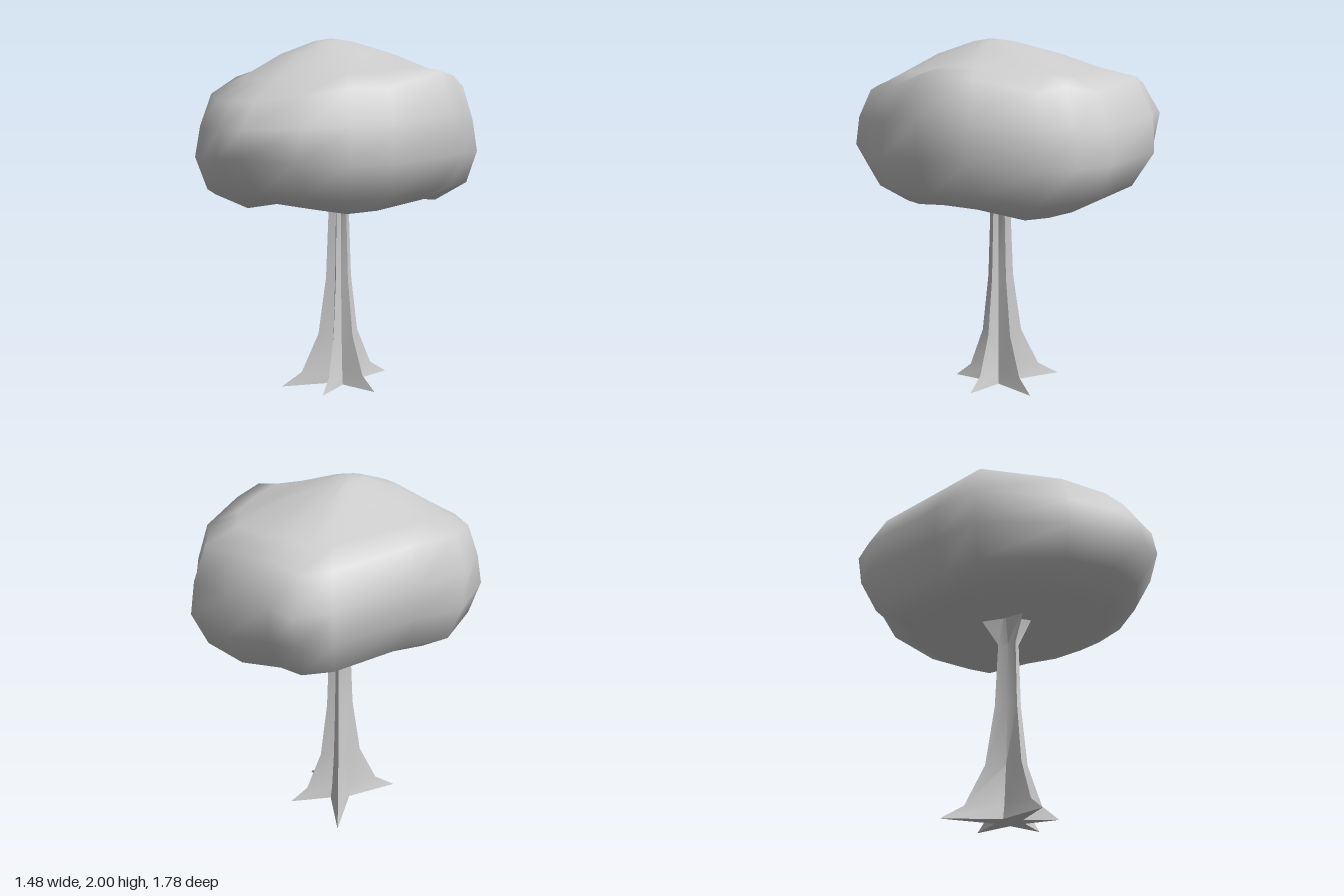
import * as THREE from 'three';
import { toCreasedNormals } from 'three/addons/utils/BufferGeometryUtils.js';

// Skin a stack of equal-length rings (bottom to top), closed by a pole at each end.
function loft(rings, bottom, top) {
  const n = rings[0].length;
  const points = [...rings.flat(), bottom, top];
  const index = [];
  const last = (rings.length - 1) * n;
  const b = rings.length * n;
  for (let j = 0; j < n; j++) {
    const k = (j + 1) % n;
    for (let i = 0; i < rings.length - 1; i++) {
      const lo = i * n, hi = lo + n;
      index.push(lo + j, hi + j, lo + k, lo + k, hi + j, hi + k);
    }
    index.push(b, j, k, last + j, b + 1, last + k);
  }
  const geometry = new THREE.BufferGeometry();
  geometry.setAttribute('position', new THREE.Float32BufferAttribute(points.flat(), 3));
  geometry.setIndex(index);
  geometry.computeVertexNormals();
  return geometry;
}

// Irregular crown: one plan outline scaled along a mushroom-like profile.
function crownGeometry() {
  // x, z, sag (low-slung waist), lobe (bulge of the underside), rim (height of the shoulder)
  const outline = [
    [-0.07, -0.89, 0.8, 0.2, 0.015], [0.3, -0.78, 1, 0.7, -0.05], [0.42, -0.64, 1, 1, -0.02],
    [0.58, -0.52, 1, 1, -0.05], [0.68, -0.18, 0.8, 0.4, 0.02], [0.74, 0.07, 0.6, 0.2, 0.045],
    [0.58, 0.38, 1, 0.6, -0.03], [0.44, 0.57, 1, 0.7, -0.03], [0.27, 0.76, 1, 0.3, -0.07],
    [0.02, 0.88, 1, 0, -0.1], [-0.15, 0.86, 1, 0.2, -0.1], [-0.32, 0.8, 1, 0.7, -0.1],
    [-0.55, 0.6, 1, 1, -0.08], [-0.75, 0.15, 0.1, 0.3, 0], [-0.67, -0.15, 0, 0, 0],
    [-0.56, -0.66, 0, 0, -0.02], [-0.45, -0.81, 0, 0, -0.03], [-0.3, -0.82, 0.3, 0, 0],
  ];
  // each level: outline scale, height, sideways drift towards the peak
  const profile = (sag, lobe, rim) => [
    [0.25, 1.155, 0],
    [0.5, 1.145 - 0.045 * lobe, 0],
    [0.7, 1.165 - 0.08 * lobe, 0],
    [0.86 + 0.075 * lobe, 1.235 - 0.05 * lobe, 0],
    [0.97 + 0.04 * sag, 1.42 - 0.055 * lobe, 0],
    [1 - 0.015 * (sag + lobe), 1.6 + 0.4 * rim - 0.035 * lobe, 0],
    [0.89, 1.785 + rim, 0],
    [0.68, 1.835 + 0.5 * rim, 0],
    [0.4, 1.915, 0.3],
    [0.13, 1.985, 0.8],
  ];
  const columns = outline.map(([x, z, sag, lobe, rim]) => profile(sag, lobe, rim)
    .map(([s, y, drift]) => [x * s - 0.04 * drift, y, z * s + 0.05 * drift]));
  const rings = columns[0].map((_, i) => columns.map((column) => column[i]));
  return loft(rings, [0, 1.19, 0], [-0.04, 2, 0.05]);
}

// Fluted trunk: five buttress fins that flare at the roots and under the crown.
function trunkGeometry() {
  const centre = [-0.02, -0.005];
  const tips = [[0.13, -0.28], [0.255, 0.04], [0.04, 0.25], [-0.235, 0.28], [-0.26, -0.29]]
    .map(([x, z]) => [x - centre[0], z - centre[1]]);
  // height, fin length factor, groove radius
  const levels = [
    [0, 1, 0.085], [0.075, 0.66, 0.07], [0.3, 0.37, 0.05],
    [0.64, 0.235, 0.037], [1.02, 0.19, 0.03], [1.23, 0.58, 0.07],
  ];
  const rings = levels.map(([y, fin, groove]) => tips.flatMap(([x, z], i) => {
    const [nx, nz] = tips[(i + 1) % tips.length];
    const a = Math.hypot(x, z), b = Math.hypot(nx, nz);
    const mid = new THREE.Vector2(x / a + nx / b, z / a + nz / b).setLength(groove);
    return [
      [centre[0] + x * fin, y, centre[1] + z * fin],
      [centre[0] + mid.x, y, centre[1] + mid.y],
    ];
  }));
  const geometry = loft(rings, [centre[0], 0, centre[1]], [centre[0], 1.23, centre[1]]);
  return toCreasedNormals(geometry, 0.6);
}

export function createModel() {
  const group = new THREE.Group();
  group.name = 'tree';
  const material = new THREE.MeshStandardMaterial({ color: 0xcccccc });
  const parts = { trunk: trunkGeometry(), crown: crownGeometry() };
  for (const [name, geometry] of Object.entries(parts)) {
    const mesh = new THREE.Mesh(geometry, material);
    mesh.name = name;
    group.add(mesh);
  }
  return group;
}
